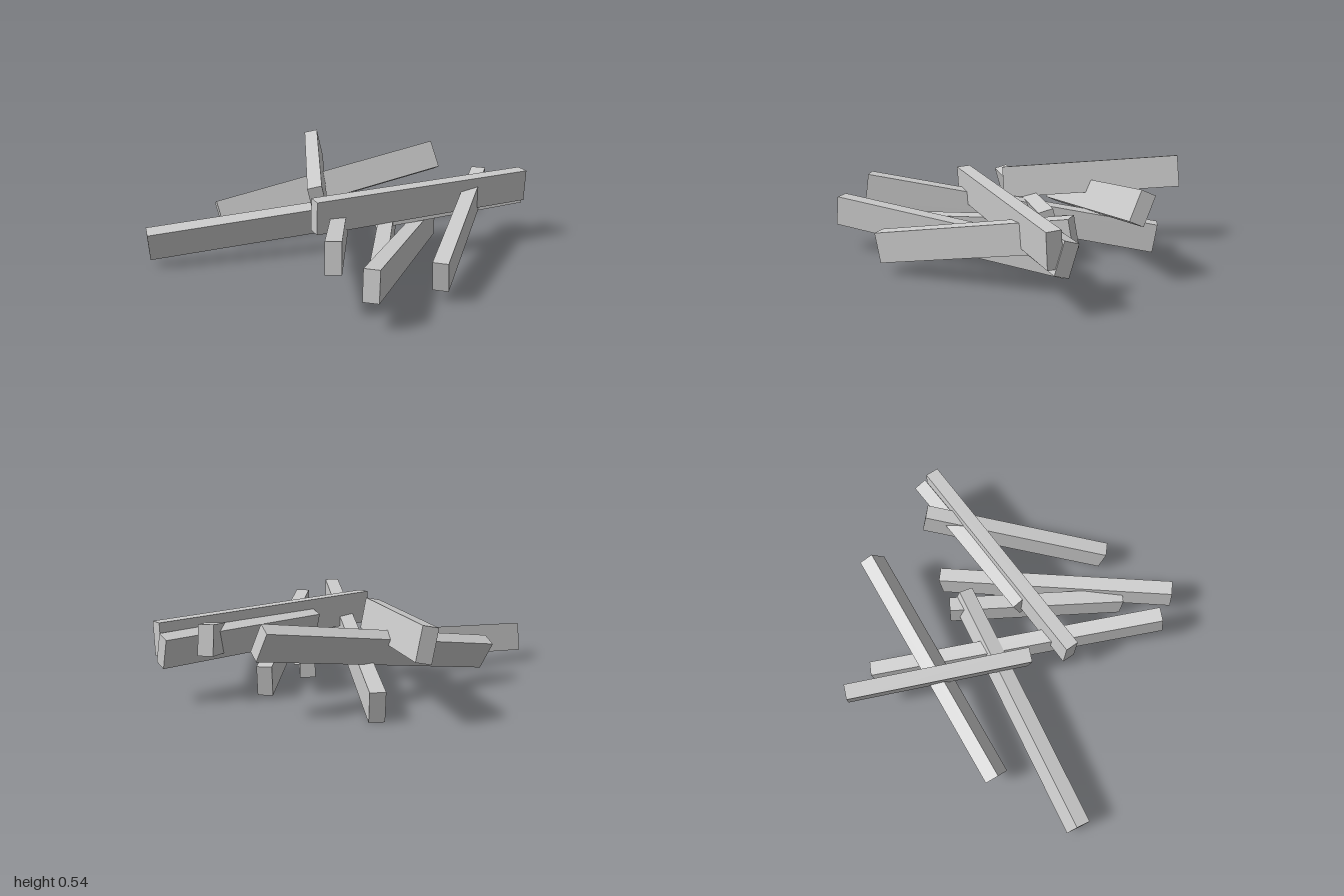
import * as THREE from 'three';

const material = new THREE.MeshStandardMaterial({ color: 0xcccccc, flatShading: true });

// A squared plank between two end centres; lean tips its upper edge sideways (degrees).
function plank(name, a, b, lean = 0, height = 0.17, width = 0.085) {
  const start = new THREE.Vector3(...a);
  const end = new THREE.Vector3(...b);
  const along = end.clone().sub(start);
  const length = along.length();
  along.normalize();
  const side = along.clone().cross(new THREE.Vector3(0, 1, 0)).normalize();
  const up = side.clone().cross(along);
  up.applyAxisAngle(along, THREE.MathUtils.degToRad(lean));
  const across = along.clone().cross(up);

  const mesh = new THREE.Mesh(new THREE.BoxGeometry(length, height, width), material);
  mesh.name = name;
  mesh.quaternion.setFromRotationMatrix(new THREE.Matrix4().makeBasis(along, up, across));
  mesh.position.copy(start).add(end).multiplyScalar(0.5);
  return mesh;
}

export function createModel() {
  const pile = new THREE.Group();
  pile.name = 'plankPile';
  pile.add(
    // back half of the heap
    plank('backLeftPlank', [-0.965, 0.14, -0.65], [0.37, 0.24, 0.07], 15),
    plank('backLongPlank', [-0.43, 0.17, -0.69], [0.89, 0.42, -0.11], -25, 0.175),
    plank('backTopPlank', [-0.195, 0.355, -0.05], [0.49, 0.435, -0.84], -12, 0.185),
    plank('diagonalPlank', [-0.69, 0.335, 0.6], [0.55, 0.083, -0.595]),
    // front half of the heap
    plank('lowPlank', [-0.41, 0.155, 0.635], [0.395, 0.187, -0.03]),
    plank('frontLeftPlank', [-0.645, 0.242, 0.815], [0.58, 0.098, 0.125]),
    plank('frontRightPlank', [-0.15, 0.145, 0.835], [0.83, 0.355, 0.315]),
    plank('topPlank', [-0.375, 0.352, 0.115], [0.955, 0.352, 0.55], 3, 0.19, 0.08),
    plank('sidePlank', [0.03, 0.3, 0.205], [0.98, 0.3, 0.495], -17, 0.175, 0.08),
  );
  return pile;
}
